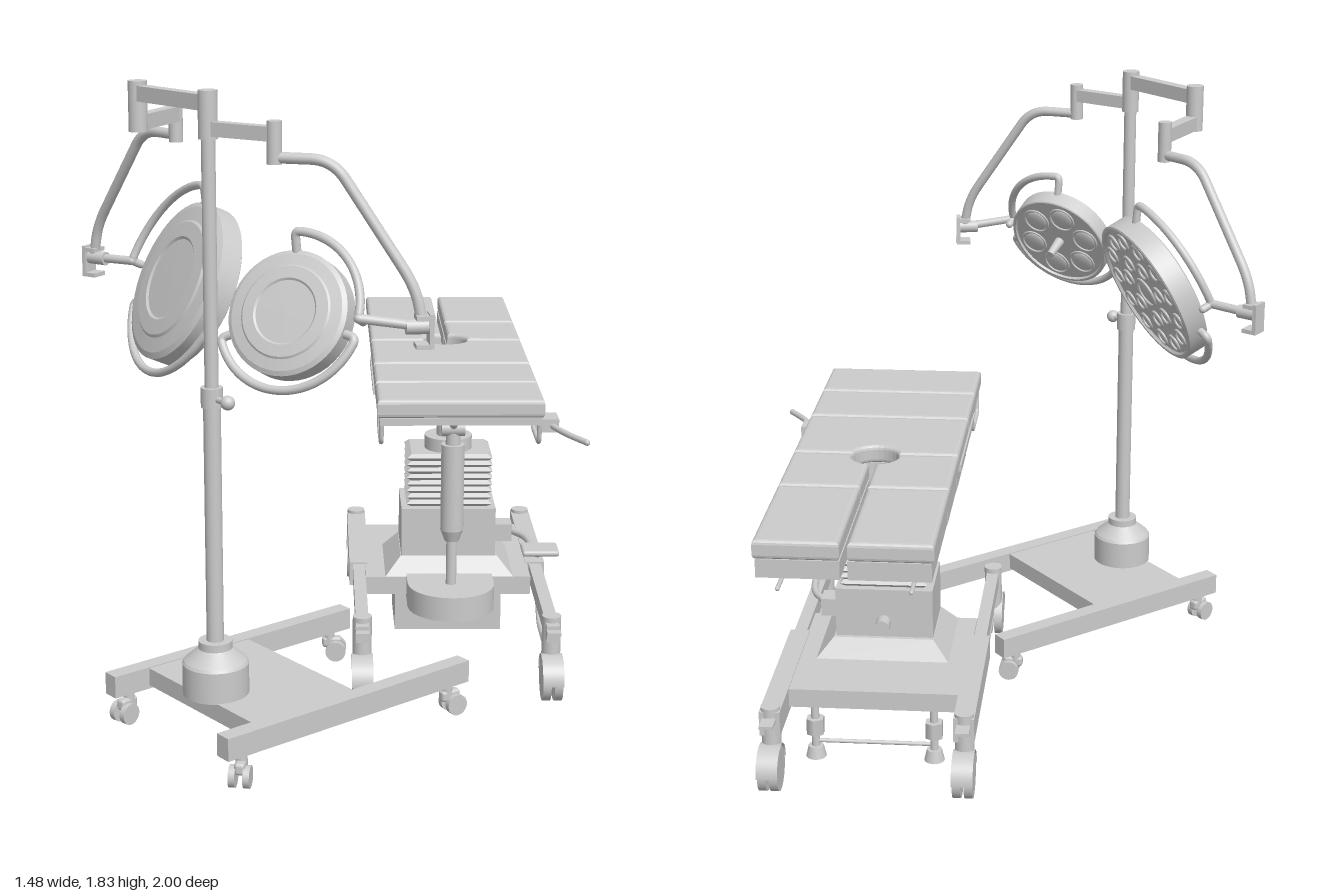
import * as THREE from 'three';
import { RoundedBoxGeometry } from 'three/addons/geometries/RoundedBoxGeometry.js';

const mat = new THREE.MeshStandardMaterial({ color: 0xcccccc });
const thin = new THREE.MeshStandardMaterial({ color: 0xcccccc, side: THREE.DoubleSide });
const V = (p) => new THREE.Vector3(...p);

function put(parent, name, geo, x = 0, y = 0, z = 0, m = mat) {
  const mesh = new THREE.Mesh(geo, m);
  mesh.name = name;
  mesh.position.set(x, y, z);
  parent.add(mesh);
  return mesh;
}
function group(parent, name, x = 0, y = 0, z = 0) {
  const g = new THREE.Group();
  g.name = name;
  g.position.set(x, y, z);
  parent.add(g);
  return g;
}
// Box given by its limits on each axis
const box = (p, name, x0, x1, y0, y1, z0, z1) =>
  put(p, name, new THREE.BoxGeometry(x1 - x0, y1 - y0, z1 - z0), (x0 + x1) / 2, (y0 + y1) / 2, (z0 + z1) / 2);
// Upright cylinder or cone
const cyl = (p, name, x, z, y0, y1, r0, r1 = r0, n = 28) =>
  put(p, name, new THREE.CylinderGeometry(r1, r0, y1 - y0, n), x, (y0 + y1) / 2, z);
// Cylinder along x
const axle = (p, name, x0, x1, y, z, r) =>
  put(p, name, new THREE.CylinderGeometry(r, r, x1 - x0, 28).rotateZ(Math.PI / 2), (x0 + x1) / 2, y, z);
// Four-sided block tapering upwards
function taper(p, name, x, z, y0, y1, w0, d0, w1, d1) {
  const g = new THREE.BoxGeometry(1, y1 - y0, 1), a = g.attributes.position;
  for (let i = 0; i < a.count; i++) {
    const top = a.getY(i) > 0;
    a.setXYZ(i, a.getX(i) * (top ? w1 : w0), a.getY(i), a.getZ(i) * (top ? d1 : d0));
  }
  g.computeVertexNormals();
  return put(p, name, g, x, (y0 + y1) / 2, z);
}
// Bent tube with rounded corners
function tube(p, name, pts, r, bend = 0.05) {
  const v = pts.map(V), path = new THREE.CurvePath();
  let from = v[0];
  for (let i = 1; i < v.length - 1; i++) {
    const toward = (q) => v[i].clone().lerp(q, Math.min(0.45, bend / v[i].distanceTo(q)));
    const a = toward(v[i - 1]), b = toward(v[i + 1]);
    path.add(new THREE.LineCurve3(from, a));
    path.add(new THREE.QuadraticBezierCurve3(a, v[i], b));
    from = b;
  }
  path.add(new THREE.LineCurve3(from, v[v.length - 1]));
  const g = group(p, name);
  put(g, name + 'Pipe', new THREE.TubeGeometry(path, 16 * v.length, r, 12));
  for (const e of [v[0], v[v.length - 1]]) put(g, name + 'End', new THREE.SphereGeometry(r, 12, 8), e.x, e.y, e.z);
  return g;
}
// Square bar between two points at the same height
function bar(p, name, a, b, h, w) {
  const A = V(a), B = V(b), m = A.clone().add(B).multiplyScalar(0.5);
  const mesh = put(p, name, new THREE.BoxGeometry(w, h, A.distanceTo(B)), m.x, m.y, m.z);
  mesh.rotation.y = Math.atan2(B.x - A.x, B.z - A.z);
}

// ---- Table top ----
const CX = 0.368, HOLE = 0.068, HOLE_Z = -0.367;
function panel(shape, y0, y1, bevel) {
  const g = new THREE.ExtrudeGeometry(shape, {
    depth: y1 - y0 - 2 * bevel, bevelEnabled: bevel > 0, bevelSize: bevel, bevelThickness: bevel,
    bevelOffset: -bevel, bevelSegments: 3, curveSegments: 16 });
  return g.rotateX(-Math.PI / 2).translate(0, y0 + bevel, 0);
}
const outline = (pts) => new THREE.Shape(pts.map(([x, z]) => new THREE.Vector2(x, -z)));
// Points on the round opening, between two angles (0 = +x, 90 = +z)
const holeArc = (a0, a1) => Array.from({ length: 13 }, (_, i) => {
  const a = THREE.MathUtils.degToRad(a0 + (a1 - a0) * i / 12);
  return [CX + HOLE * Math.cos(a), HOLE_Z + HOLE * Math.sin(a)];
});
const rect = (x0, x1, z0, z1) => [[x0, z1], [x1, z1], [x1, z0], [x0, z0]];

function buildTop(p) {
  const L = 0.13, R = 0.607, zs = -0.352, off = Math.asin((zs - HOLE_Z) / HOLE) * 180 / Math.PI;
  const cut = Math.acos(0.01 / HOLE) * 180 / Math.PI;
  const sections = [
    ['footPad', rect(L, R, 0.175, 0.387), 0.84],
    ['legPad', rect(L, R, -0.05, 0.167), 0.805],
    ['seatPad', [[L, -0.06], [R, -0.06], [R, zs], ...holeArc(off, 180 - off), [L, zs]], 0.80],
    ['backPadLeft', [[R, -0.36], [R, -0.608], [CX + 0.01, -0.608], ...holeArc(-cut, 0)], 0.805],
    ['backPadRight', [[L, -0.36], ...holeArc(180, 180 + cut), [CX - 0.01, -0.608], [L, -0.608]], 0.805],
    ['headPadLeft', rect(0.378, R, -1, -0.617), 0.81],
    ['headPadRight', rect(L, 0.357, -1, -0.617), 0.81],
  ];
  for (const [name, pts, low] of sections) {
    put(p, name, panel(outline(pts), 0.86, 0.914, 0.012));
    put(p, name + 'Frame', panel(outline(pts.map(([x, z]) => [CX + (x - CX) * 0.97, z])), low, 0.862, 0));
  }
  box(p, 'backTray', 0.22, 0.52, 0.76, 0.81, -0.56, -0.37);
  for (const s of [-1, 1]) {
    const x = CX + s * 0.236;
    box(p, 'accessoryRail', x - 0.006, x + 0.006, 0.85, 0.868, -0.32, 0.08);
    box(p, 'hingeBar', x - 0.02 - s * 0.03, x + 0.02 - s * 0.03, 0.815, 0.845, -0.7, 0.3);
    tube(p, 'footHandle', [[x - s * 0.01, 0.85, 0.37], [x - s * 0.01, 0.78, 0.36], [x - s * 0.01, 0.78, 0.2], [x - s * 0.01, 0.82, 0.19]], 0.007, 0.02);
    tube(p, 'headHandle', [[x - s * 0.06, 0.82, -0.88], [x - s * 0.06, 0.777, -0.88], [x - s * 0.06, 0.777, -0.995]], 0.006, 0.02);
    cyl(p, 'lockKnob', CX + s * 0.16, -0.33, 0.775, 0.81, 0.014);
  }
  box(p, 'leverClamp', 0.6, 0.67, 0.765, 0.805, 0.125, 0.2);
  tube(p, 'tiltLever', [[0.64, 0.785, 0.17], [0.68, 0.78, 0.26], [0.735, 0.775, 0.34]], 0.009);
  box(p, 'clampMount', 0.56, 0.61, 0.78, 0.84, 0.135, 0.175);
}

// ---- Lifting column and wheeled base ----
function buildBase(p) {
  const z = -0.17;
  taper(p, 'headBracket', CX, z, 0.755, 0.805, 0.16, 0.13, 0.25, 0.16);
  cyl(p, 'piston', CX, z, 0.64, 0.77, 0.036);
  cyl(p, 'pistonCollar', CX, z, 0.61, 0.655, 0.074);
  for (let i = 0; i < 8; i++) { // bellows folds, each a pair of tapers
    const y = 0.445 + i * 0.021;
    taper(p, 'bellowsFold', CX, z, y, y + 0.011, 0.235, 0.165, 0.265, 0.19);
    taper(p, 'bellowsFold', CX, z, y + 0.011, y + 0.022, 0.265, 0.19, 0.235, 0.165);
  }
  box(p, 'columnHousing', 0.22, 0.512, 0.28, 0.445, -0.277, -0.06);
  taper(p, 'columnSkirt', CX, z - 0.005, 0.235, 0.292, 0.4, 0.31, 0.3, 0.23);
  box(p, 'deck', 0.11, 0.62, 0.18, 0.237, -0.53, -0.02);
  box(p, 'underBox', 0.2, 0.53, 0.06, 0.19, -0.25, -0.03);
  const knob = cyl(p, 'rearKnob', CX, -0.295, 0.315, 0.365, 0.022);
  knob.rotation.x = Math.PI / 2;
  // Support strut in front of the column
  box(p, 'strutShelf', 0.235, 0.5, 0.17, 0.245, -0.03, 0.06);
  cyl(p, 'strutShelfNose', CX, 0.06, 0.17, 0.245, 0.1325);
  cyl(p, 'strutRod', CX, 0.06, 0.24, 0.4, 0.016);
  cyl(p, 'strutTaper', CX, 0.06, 0.385, 0.42, 0.022, 0.035);
  cyl(p, 'strutBody', CX, 0.06, 0.42, 0.69, 0.035);
  cyl(p, 'strutNeck', CX, 0.06, 0.69, 0.73, 0.022);
  axle(p, 'strutPivot', CX - 0.035, CX + 0.035, 0.74, 0.06, 0.025);
  for (const s of [-1, 1]) tube(p, 'strutFork', [[CX, 0.735, 0.06], [CX, 0.815, 0.06 + s * 0.075]], 0.013);
  // Foot pedal
  box(p, 'pedalBox', 0.505, 0.57, 0.315, 0.37, -0.195, -0.13);
  tube(p, 'pedalArm', [[0.56, 0.345, -0.16], [0.61, 0.345, -0.09], [0.625, 0.35, 0.1], [0.625, 0.385, 0.17]], 0.011);
  put(p, 'pedalPlate', new RoundedBoxGeometry(0.11, 0.018, 0.09, 2, 0.008), 0.625, 0.392, 0.17);
  // Side legs, wheels, stabilizer feet and brake loops
  for (const s of [-1, 1]) {
    const x = CX + s * 0.278;
    box(p, 'rearLeg', x - 0.03, x + 0.03, 0.165, 0.24, -0.68, -0.145);
    box(p, 'frontLeg', x - 0.019, x + 0.019, 0.185, 0.235, -0.145, 0.4);
    for (const [wz, d] of [[0.377, 1], [-0.687, -1]]) {
      cyl(p, 'casterPost', x, wz - d * 0.03, 0.1, 0.25, 0.028);
      for (const e of [-1, 1]) axle(p, 'wheel', x + e * 0.017 - 0.012, x + e * 0.017 + 0.012, 0.064, wz, 0.064);
      const hood = new THREE.CylinderGeometry(0.072, 0.072, 0.062, 24, 1, true, 0, Math.PI);
      put(p, 'casterHood', hood.rotateZ(Math.PI / 2), x, 0.066, wz, thin);
      box(p, 'brakeTab', x - 0.02, x + 0.02, 0.215, 0.225, Math.min(wz, wz + d * 0.05), Math.max(wz, wz + d * 0.05));
    }
    const fx = CX + s * 0.175;
    cyl(p, 'stabilizerFoot', fx, -0.515, 0.015, 0.05, 0.03, 0.022);
    cyl(p, 'stabilizerNut', fx, -0.515, 0.09, 0.14, 0.028, 0.028, 6);
    cyl(p, 'stabilizerStem', fx, -0.515, 0.03, 0.2, 0.012);
    tube(p, 'brakeLoop', [[x, 0.19, 0.33], [x, 0.1, 0.24], [x, 0.1, 0.03], [x, 0.19, -0.06]], 0.009, 0.03);
  }
  axle(p, 'crossTube', 0.19, 0.546, 0.065, -0.515, 0.006);
}

// ---- Lamp stand ----
function buildStand(p) {
  const base = group(p, 'standBase', -0.125, 0, 0.5);
  base.rotation.y = 0.675;
  for (const v of [-0.27, 0.27]) {
    box(base, 'standRail', -0.432, 0.432, 0.09, 0.155, v - 0.025, v + 0.025);
    for (const u of [-0.37, 0.37]) {
      const c = group(base, 'standCaster', u, 0, v);
      c.rotation.y = u * 3 + v;
      cyl(c, 'casterStem', 0, 0, 0.06, 0.095, 0.016);
      put(c, 'casterFork', new RoundedBoxGeometry(0.03, 0.035, 0.06, 2, 0.01), 0, 0.056, 0.008);
      for (const e of [-1, 1]) axle(c, 'casterWheel', e * 0.02 - 0.009, e * 0.02 + 0.009, 0.031, 0.02, 0.031);
    }
  }
  box(base, 'standPlate', -0.315, 0.04, 0.125, 0.152, -0.25, 0.25);
  for (const u of [-0.305, 0.03]) box(base, 'plateRib', u - 0.01, u + 0.01, 0.1, 0.13, -0.25, 0.25);
  const X = -0.325, Z = 0.67;
  const foot = [[0, 0.15], [0.093, 0.15], [0.093, 0.24], [0.088, 0.248], [0.05, 0.28], [0.047, 0.283], [0.047, 0.305], [0, 0.305]];
  for (let i = 1; i < foot.length; i++) // separate bands keep the edges crisp
    put(p, 'poleFoot', new THREE.LatheGeometry(foot.slice(i - 1, i + 1).map((q) => new THREE.Vector2(...q)), 36), X, 0, Z);
  cyl(p, 'lowerPole', X, Z, 0.3, 1.0, 0.024);
  cyl(p, 'poleCollar', X, Z, 0.975, 1.03, 0.03);
  cyl(p, 'upperPole', X, Z, 1.0, 1.76, 0.019);
  tube(p, 'collarScrew', [[X, 1.0, Z], [X + 0.04, 1.0, Z + 0.05]], 0.009);
  put(p, 'collarKnob', new THREE.SphereGeometry(0.02, 16, 12), X + 0.045, 1.0, Z + 0.055);
  // Hinged arms
  cyl(p, 'poleJoint', X, Z, 1.7, 1.828, 0.026);
  cyl(p, 'outerJoint', -0.525, 0.453, 1.69, 1.828, 0.026);
  cyl(p, 'leftLampJoint', -0.15, 0.778, 1.65, 1.762, 0.02);
  cyl(p, 'rightLampJoint', -0.436, 0.265, 1.635, 1.755, 0.02);
  bar(p, 'upperArm', [X, 1.795, Z], [-0.525, 1.795, 0.453], 0.042, 0.036);
  bar(p, 'middleArm', [-0.525, 1.715, 0.453], [-0.436, 1.715, 0.265], 0.042, 0.036);
  bar(p, 'sideArm', [X, 1.728, Z], [-0.15, 1.728, 0.778], 0.038, 0.034);
  buildLamp(p, 'rightLamp', [-0.42, 1.235, 0.29], [0.8, -0.42, -0.42], 0.235, 0.085, 1,
    [[-0.436, 1.655, 0.265], [-0.535, 1.655, 0.165], [-0.69, 1.35, 0], [-0.705, 1.25, -0.015]],
    [[0, 0, 0.2], [7, 0.43, 0.11], [13, 0.77, 0.11]]);
  buildLamp(p, 'leftLamp', [-0.11, 1.255, 0.787], [0.4, -0.45, -0.8], 0.17, 0.07, -1,
    [[-0.15, 1.667, 0.778], [0, 1.667, 0.82], [0.21, 1.35, 0.89], [0.23, 1.25, 0.9]],
    [[6, 0.6, 0.25]]);
}

// Lamp head facing direction n; side picks the pivot end, rings lists [count, radius, size]
function buildLamp(p, name, c, n, r, t, side, arm, rings) {
  tube(p, name + 'Arm', arm, 0.015, 0.06);
  const end = arm[3];
  const g = group(p, name, ...c);
  g.lookAt(V(c).add(V(n)));
  const profile = [[0, -0.52], [0.5, -0.5], [0.53, -0.56], [0.72, -0.53], [0.75, -0.47], [0.93, -0.4], [1, -0.3], [1, 0.46], [0.98, 0.5], [0.94, 0.5], [0.92, 0.4], [0, 0.4]];
  for (let i = 1; i < profile.length; i++)
    put(g, 'lampShell', new THREE.LatheGeometry(profile.slice(i - 1, i + 1).map(([a, b]) => new THREE.Vector2(a * r, b * t)), 48).rotateX(Math.PI / 2));
  for (const [count, rad, size] of rings) for (let i = 0; i < Math.max(count, 1); i++) {
    const a = (i / Math.max(count, 1)) * Math.PI * 2 + 0.2, x = Math.cos(a) * rad * r, y = Math.sin(a) * rad * r;
    put(g, 'lensRing', new THREE.TorusGeometry(size * r, 0.022 * r, 8, 24), x, y, t * 0.42);
    put(g, 'lens', new THREE.SphereGeometry(size * r * 0.85, 20, 8, 0, Math.PI * 2, 0, Math.PI / 2).scale(1, 0.25, 1).rotateX(Math.PI / 2), x, y, t * 0.38);
  }
  if (side < 0) put(g, 'lampHandle', new THREE.CylinderGeometry(0.012, 0.016, 0.07, 16).rotateX(Math.PI / 2), 0, 0, t * 0.4 + 0.035);
  // Curved tube around the rim, with its ends turned in at the given radii
  const hoop = (label, a0, a1, R, z, in0, in1) => {
    const at = (deg, q, h) => [q * Math.cos(deg * Math.PI / 180), q * Math.sin(deg * Math.PI / 180), h];
    const pts = Array.from({ length: 13 }, (_, i) => at(a0 + (a1 - a0) * i / 12, R, z));
    tube(g, label, [at(a0, in0, z * 0.3), ...pts, at(a1, in1, z * 0.3)], 0.012, 0.02);
  };
  hoop('gripHoop', 192, 336, r + 0.035, -0.005, r * 0.95, r * 0.95);
  const p0 = side > 0 ? 0 : 180;
  hoop('yoke', p0, 86, r + 0.045, -0.045, r + 0.045, r * 0.95);
  g.updateMatrixWorld(true);
  const pivot = g.localToWorld(new THREE.Vector3(side * (r + 0.045), 0, -0.045));
  tube(p, name + 'PivotRod', [end, pivot.toArray()], 0.013);
  // Bracket at the end of the arm
  const b = group(p, name + 'Bracket', end[0], 1.24, end[2]);
  b.rotation.y = Math.atan2(pivot.x - end[0], pivot.z - end[2]);
  box(b, 'bracketPlate', -0.025, 0.025, -0.045, 0.045, -0.026, -0.014);
  for (const y of [-0.04, 0.035]) box(b, 'bracketLip', -0.025, 0.025, y - 0.006, y + 0.006, -0.026, 0.02);
  put(b, 'bracketHub', new THREE.CylinderGeometry(0.02, 0.02, 0.07, 20).rotateX(Math.PI / 2), 0, 0.01, 0.01);
}

export function createModel() {
  const model = new THREE.Group();
  model.name = 'operatingTableAndLamp';
  const table = group(model, 'operatingTable');
  buildTop(table);
  buildBase(table);
  buildStand(group(model, 'lampStand'));
  return model;
}
